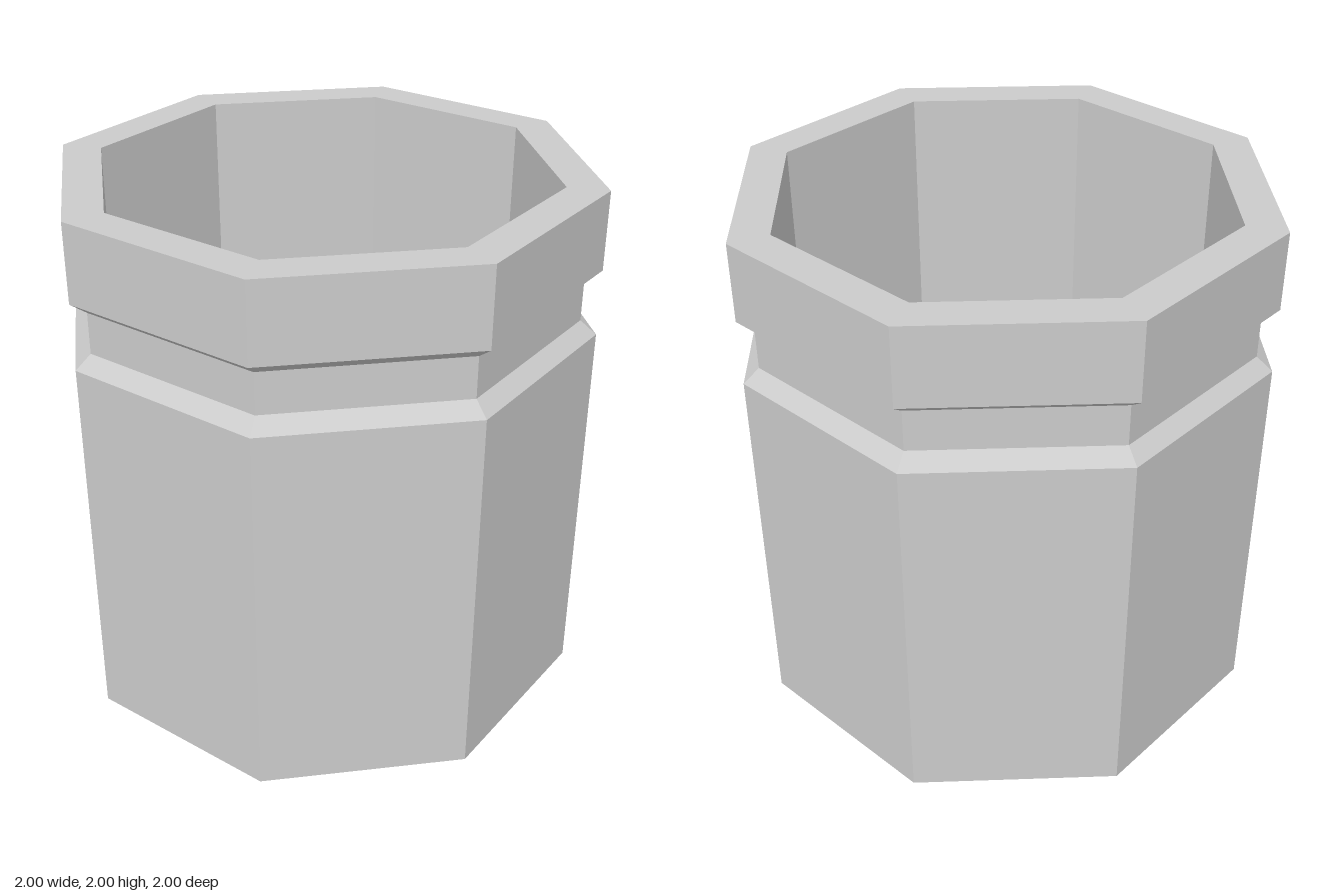
import * as THREE from 'three';

const SIDES = 8;
const INNER = 0.85;
const FLOOR = 0.15;

export function createModel() {
  const group = new THREE.Group();
  const material = new THREE.MeshStandardMaterial({ color: 0xcccccc, flatShading: true });

  const add = (name, geometry) => {
    const mesh = new THREE.Mesh(geometry, material);
    mesh.name = name;
    group.add(mesh);
    return mesh;
  };

  // Wall: up the outside, round the neck groove, over the rim and down the inside
  const profile = [
    [1, 0], [1, 1.455],
    [0.94, 1.505], [0.94, 1.66],
    [1, 1.705], [1, 2],
    [INNER, 2], [INNER, FLOOR],
  ].map(([r, y]) => new THREE.Vector2(r, y));
  add('wall', new THREE.LatheGeometry(profile, SIDES));

  // Closed underside
  add('base', new THREE.CircleGeometry(1, SIDES).rotateX(Math.PI / 2));

  // Floor of the hollow
  add('innerFloor', new THREE.CircleGeometry(INNER, SIDES).rotateX(-Math.PI / 2)).position.y = FLOOR;

  return group;
}
